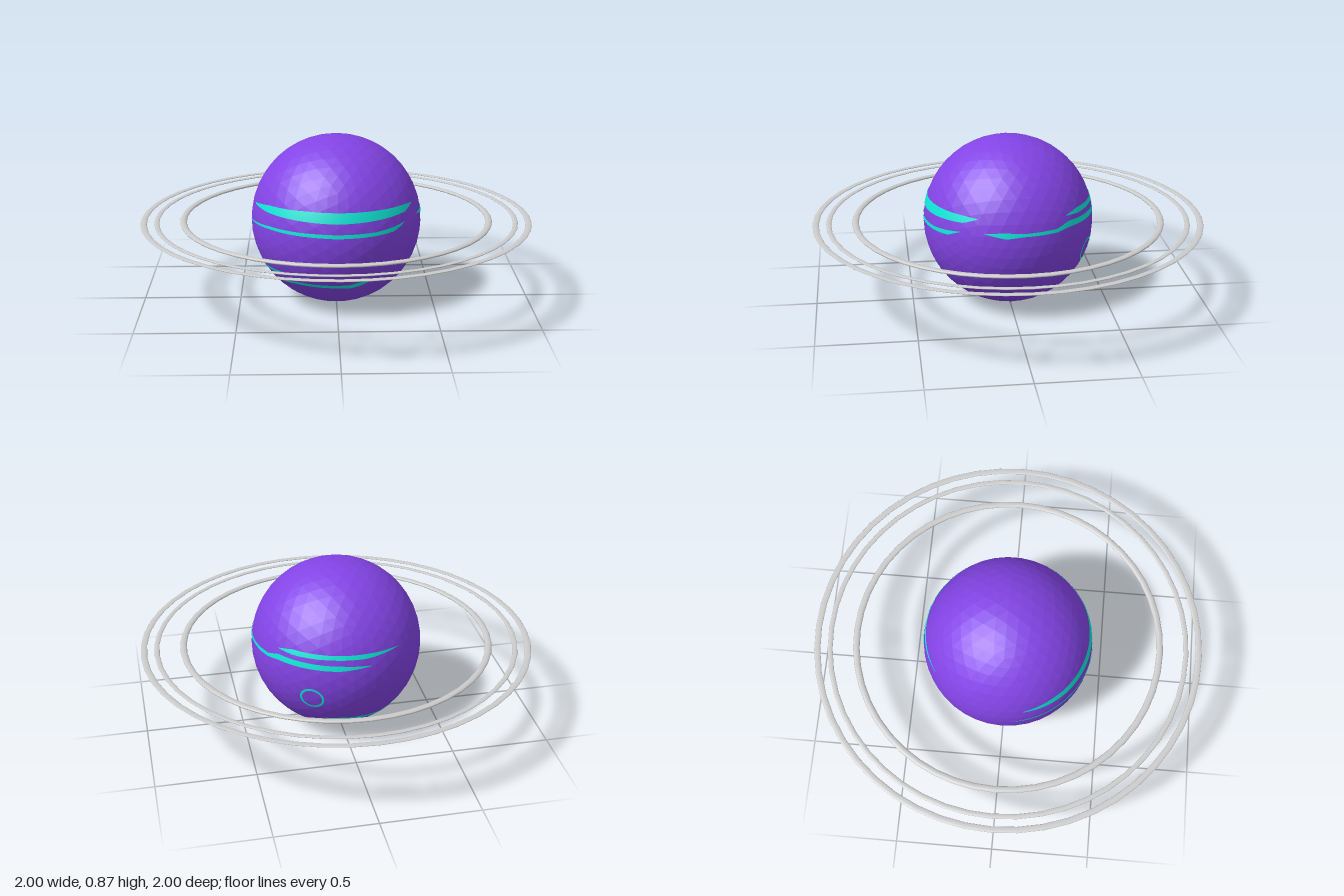
import * as THREE from 'three';

const R = 0.435;          // planet radius, also the height of its centre
const SKIN = R + 0.002;   // markings float just above the surface

const purple = new THREE.MeshStandardMaterial({ color: 0x8344e6, flatShading: true });
const cyan = new THREE.MeshStandardMaterial({ color: 0x10e8d8, side: THREE.DoubleSide });
const grey = new THREE.MeshStandardMaterial({ color: 0xcccccc });

// Cloud streaks: [degrees around from the front, lower height, upper height]
const STREAKS = {
  frontUpperStreak: [[-75, 0.545, 0.55], [-54, 0.537, 0.572], [-21, 0.53, 0.58], [0, 0.525, 0.578],
    [24, 0.53, 0.577], [52, 0.54, 0.575], [62.5, 0.567, 0.57]],
  frontLowerStreak: [[-82, 0.45, 0.455], [-50, 0.459, 0.474], [-15, 0.457, 0.476], [0, 0.454, 0.474],
    [25, 0.456, 0.475], [40, 0.462, 0.485], [50, 0.492, 0.495]],
  sideStreak: [[68, 0.502, 0.505], [82, 0.481, 0.512], [93, 0.49, 0.506], [117, 0.49, 0.508],
    [127, 0.5, 0.53], [150, 0.497, 0.525], [172, 0.493, 0.52], [192, 0.504, 0.507]],
  backUpperStreak: [[126, 0.557, 0.56], [138, 0.55, 0.576], [165, 0.55, 0.572], [190, 0.545, 0.568],
    [215, 0.556, 0.559]],
  lowSideStreak: [[-82, 0.205, 0.208], [-68, 0.214, 0.232], [-48, 0.22, 0.235], [-30, 0.232, 0.234]],
  lowFrontStreak: [[-55, 0.165, 0.168], [-35, 0.174, 0.19], [0, 0.17, 0.188], [10, 0.166, 0.19],
    [18, 0.178, 0.205], [28, 0.211, 0.213]],
  lowBackStreak: [[159, 0.172, 0.175], [172, 0.158, 0.178], [189, 0.152, 0.172], [210, 0.145, 0.162],
    [230, 0.149, 0.151]],
  lowBackFleck: [[184, 0.134, 0.136], [187, 0.108, 0.138], [196, 0.136, 0.138]],
};

// A plane bent round the sphere between two height profiles
function streak(rows) {
  const n = 48;
  const geo = new THREE.PlaneGeometry(1, 1, n, 2);
  const pos = geo.attributes.position;
  const first = rows[0][0], span = rows[rows.length - 1][0] - first;
  for (let i = 0; i < pos.count; i++) {
    const deg = first + (pos.getX(i) + 0.5) * span;
    let k = 0;
    while (k < rows.length - 2 && deg > rows[k + 1][0]) k++;
    const [a, b] = [rows[k], rows[k + 1]];
    const t = (deg - a[0]) / (b[0] - a[0]);
    const low = THREE.MathUtils.lerp(a[1], b[1], t);
    const high = THREE.MathUtils.lerp(a[2], b[2], t);
    const y = THREE.MathUtils.lerp(low, high, pos.getY(i) + 0.5) - R;
    const r = Math.sqrt(SKIN * SKIN - y * y);
    const angle = THREE.MathUtils.degToRad(deg);
    pos.setXYZ(i, r * Math.sin(angle), y, r * Math.cos(angle));
  }
  geo.computeVertexNormals();
  return new THREE.Mesh(geo, cyan);
}

// A flat ring pressed onto the sphere
function stormRing(deg, latitude) {
  const geo = new THREE.RingGeometry(0.051, 0.063, 32, 1);
  const pos = geo.attributes.position;
  const v = new THREE.Vector3();
  for (let i = 0; i < pos.count; i++) {
    v.fromBufferAttribute(pos, i).setZ(R).setLength(SKIN);
    pos.setXYZ(i, v.x, v.y, v.z);
  }
  geo.computeVertexNormals();
  geo.rotateX(-THREE.MathUtils.degToRad(latitude));
  geo.rotateY(THREE.MathUtils.degToRad(deg));
  return new THREE.Mesh(geo, cyan);
}

export function createModel() {
  const model = new THREE.Group();
  model.name = 'ringedPlanet';

  // Faceted globe with its markings
  const planet = new THREE.Group();
  planet.name = 'planet';
  planet.position.y = R;
  const globe = new THREE.Mesh(new THREE.IcosahedronGeometry(R, 7), purple);
  globe.name = 'globe';
  planet.add(globe);
  for (const [name, rows] of Object.entries(STREAKS)) {
    const mesh = streak(rows);
    mesh.name = name;
    planet.add(mesh);
  }
  const storm = stormRing(152, -14.7);
  storm.name = 'stormRing';
  planet.add(storm);
  model.add(planet);

  // Flattened orbit rings: [name, mid radius, half width, half thickness]
  for (const [name, radius, half, thick] of [
    ['innerRing', 0.783, 0.017, 0.008],
    ['middleRing', 0.918, 0.013, 0.004],
    ['outerRing', 0.984, 0.016, 0.004],
  ]) {
    const geo = new THREE.TorusGeometry(radius, half, 12, 48);
    geo.rotateX(Math.PI / 2);
    geo.scale(1, thick / half, 1);
    const ring = new THREE.Mesh(geo, grey);
    ring.name = name;
    ring.position.y = R + 0.003;
    model.add(ring);
  }
  return model;
}
